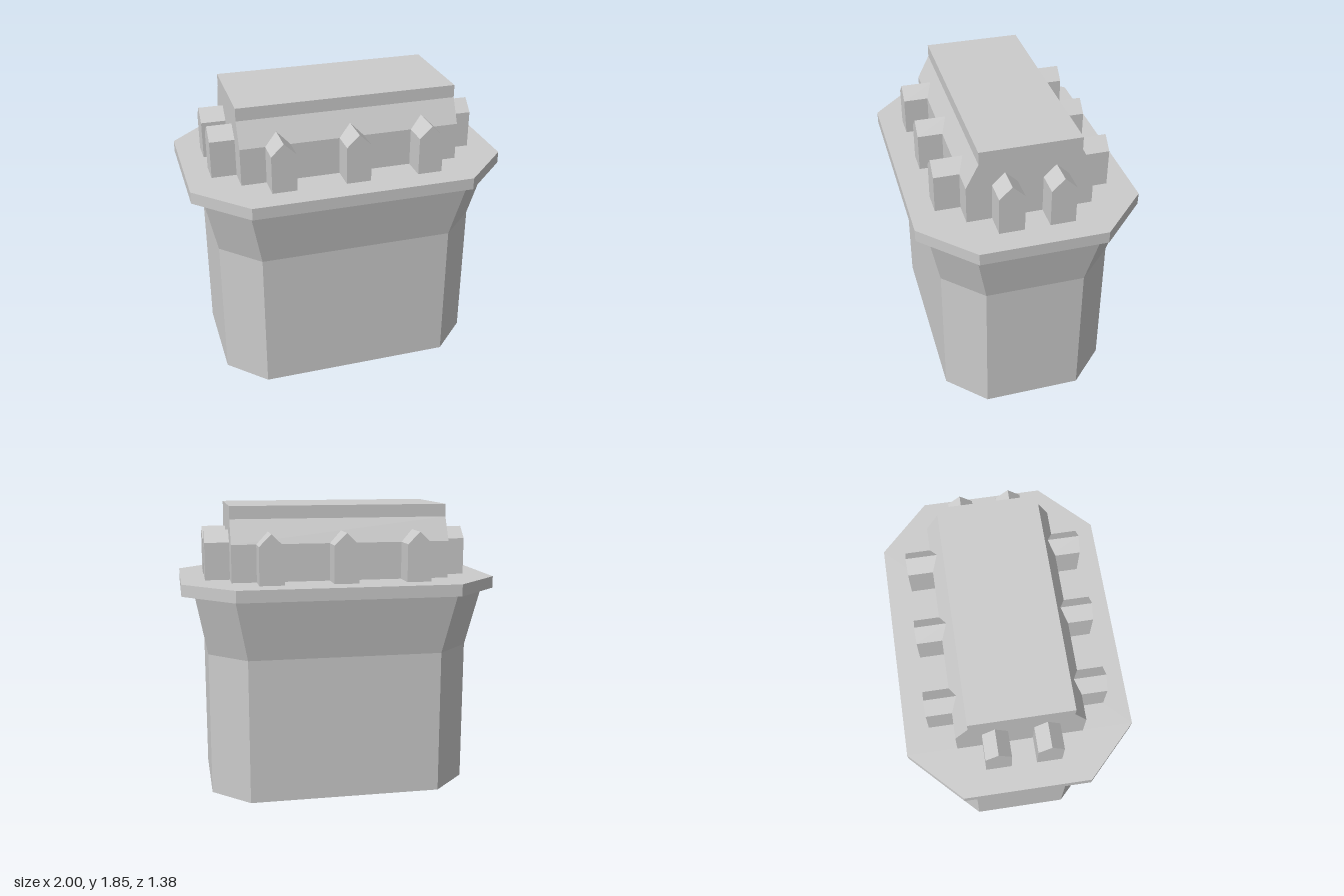
import * as THREE from 'three';

const material = new THREE.MeshStandardMaterial({ color: 0xcccccc, flatShading: true });
const shellMaterial = new THREE.MeshStandardMaterial({ color: 0xcccccc, flatShading: true, side: THREE.DoubleSide });

// Chamfered rectangle at height y: half extents X, Z and chamfer starts cx, cz
function octagon(y, X, Z, cx, cz) {
  return [[-cx, Z], [cx, Z], [X, cz], [X, -cz], [cx, -Z], [-cx, -Z], [-X, -cz], [-X, cz]]
    .map(([x, z]) => [x, y, z]);
}

// Skin between successive rings, optionally closing the last one
function loft(rings, capTop) {
  const pos = [];
  const tri = (a, b, c) => pos.push(...a, ...b, ...c);
  for (let r = 0; r < rings.length - 1; r++) {
    const a = rings[r], b = rings[r + 1], n = a.length;
    for (let i = 0; i < n; i++) {
      const j = (i + 1) % n;
      tri(a[i], a[j], b[j]);
      tri(a[i], b[j], b[i]);
    }
  }
  const top = rings[rings.length - 1];
  if (capTop) for (let i = 1; i < top.length - 1; i++) tri(top[0], top[i], top[i + 1]);
  const geo = new THREE.BufferGeometry();
  geo.setAttribute('position', new THREE.Float32BufferAttribute(pos, 3));
  geo.computeVertexNormals();
  return geo;
}

// Straight prism of a profile, running along +z from 0
function prism(points, depth) {
  const shape = new THREE.Shape(points.map(([x, y]) => new THREE.Vector2(x, y)));
  return new THREE.ExtrudeGeometry(shape, { depth, bevelEnabled: false });
}

export function createModel() {
  const model = new THREE.Group();
  const add = (name, geo, mat = material) => {
    const mesh = new THREE.Mesh(geo, mat);
    mesh.name = name;
    model.add(mesh);
    return mesh;
  };

  // Hollow shaft, open underneath, flaring out towards the top
  const flareTop = octagon(1.31, 0.92, 0.615, 0.69, 0.385);
  add('shaft', loft([
    octagon(0, 0.845, 0.54, 0.615, 0.31),
    octagon(0.925, 0.845, 0.54, 0.615, 0.31),
    flareTop,
  ], false), shellMaterial);

  // Overhanging platform
  add('platform', loft([
    flareTop,
    octagon(1.31, 1, 0.69, 0.69, 0.385),
    octagon(1.385, 1, 0.69, 0.69, 0.385),
  ], true), shellMaterial);

  // Central block with sloped shoulders, running along x
  const block = prism([
    [-0.385, 1.385], [0.385, 1.385], [0.385, 1.62], [0.308, 1.77],
    [0.308, 1.85], [-0.308, 1.85], [-0.308, 1.77], [-0.385, 1.62],
  ], 1.384);
  block.translate(0, 0, -0.692).rotateY(Math.PI / 2);
  add('upperBlock', block);

  // Gabled buttresses standing against the block on all sides
  const w = 0.077;
  const gable = [[-w, 1.385], [w, 1.385], [w, 1.62], [0, 1.695], [-w, 1.62]];
  const longSide = prism(gable, 0.2).translate(0, 0, 0.34);
  const shortSide = prism(gable, 0.16).translate(0, 0, 0.687);
  for (const s of [1, -1]) {
    for (const x of [-0.46, 0, 0.46]) {
      const b = add(s > 0 ? 'frontButtress' : 'backButtress', longSide);
      b.position.x = x;
      b.rotation.y = s > 0 ? 0 : Math.PI;
    }
    for (const z of [-0.154, 0.154]) {
      const b = add(s > 0 ? 'leftButtress' : 'rightButtress', shortSide);
      b.position.z = z;
      b.rotation.y = s * Math.PI / 2;
    }
  }
  return model;
}
